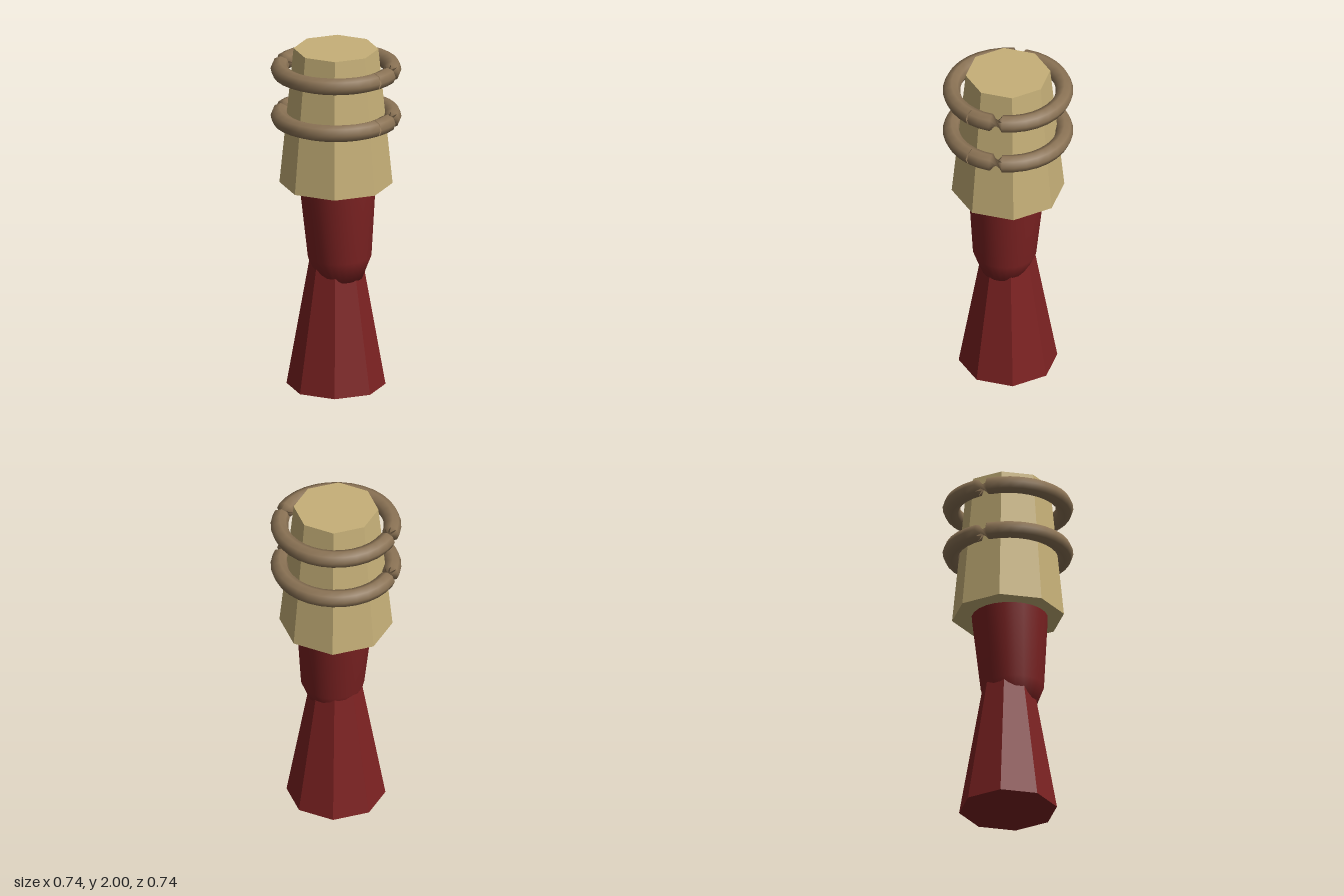
import * as THREE from 'three';

const material = (name, color, extra = {}) => {
  const m = new THREE.MeshStandardMaterial({ color, ...extra });
  m.name = name;
  return m;
};

// Ring whose cross-section makes a half turn twice, pinching the tube at two opposite points
function twistedRing(radius, tube, sides, segments) {
  const geo = new THREE.TorusGeometry(radius, tube, sides, segments);
  const pos = geo.attributes.position, nor = geo.attributes.normal;
  for (let k = 0; k < pos.count; k++) {
    const i = k % (segments + 1);
    const a = (i / segments) * Math.PI * 2;
    if (i >= 3 && i <= 18) {
      pos.setXYZ(k, 2 * radius * Math.cos(a) - pos.getX(k), 2 * radius * Math.sin(a) - pos.getY(k), -pos.getZ(k));
      nor.setXYZ(k, -nor.getX(k), -nor.getY(k), -nor.getZ(k));
    }
    // slight open seam where the two ends meet
    if (i === 0) pos.setY(k, (pos.getX(k) - radius) * 0.1);
    if (i === segments) pos.setY(k, (radius - pos.getX(k)) * 0.1);
  }
  return geo.rotateX(-Math.PI / 2);
}

export function createModel() {
  const group = new THREE.Group();
  const red = material('dark red', 0x7c2222);
  const redFlat = red;
  const sand = material('sand', 0xc6b078);
  const brown = material('brown', 0x8b7355, { side: THREE.DoubleSide });

  const add = (name, geo, mat, x, y) => {
    const mesh = new THREE.Mesh(geo, mat);
    mesh.name = name;
    mesh.position.set(x, y, 0);
    group.add(mesh);
    return mesh;
  };

  // Eight-sided tapered parts with hard edges
  const faceted = (top, bottom, height) => {
    const geo = new THREE.CylinderGeometry(top, bottom, height, 8).toNonIndexed();
    geo.computeVertexNormals();
    return geo;
  };
  add('foot', faceted(0.14, 0.28, 0.8), redFlat, 0, 0.4);
  add('head', faceted(0.24, 0.32, 0.8), sand, 0, 1.6);

  // Slightly tilted, round-bottomed neck
  const profile = [[0, -0.18], [0.127, -0.127], [0.18, 0], [0.222, 0.5]]
    .map(([r, y]) => new THREE.Vector2(r, y));
  const neck = add('neck', new THREE.LatheGeometry(profile, 24), red, 0.03, 0.77);
  neck.rotation.z = 0.04;

  // Two loose rings round the head
  for (const [name, y] of [['lowerRing', 1.6], ['upperRing', 1.88]]) {
    add(name, twistedRing(0.32, 0.05, 8, 32), brown, 0, y);
  }
  return group;
}
